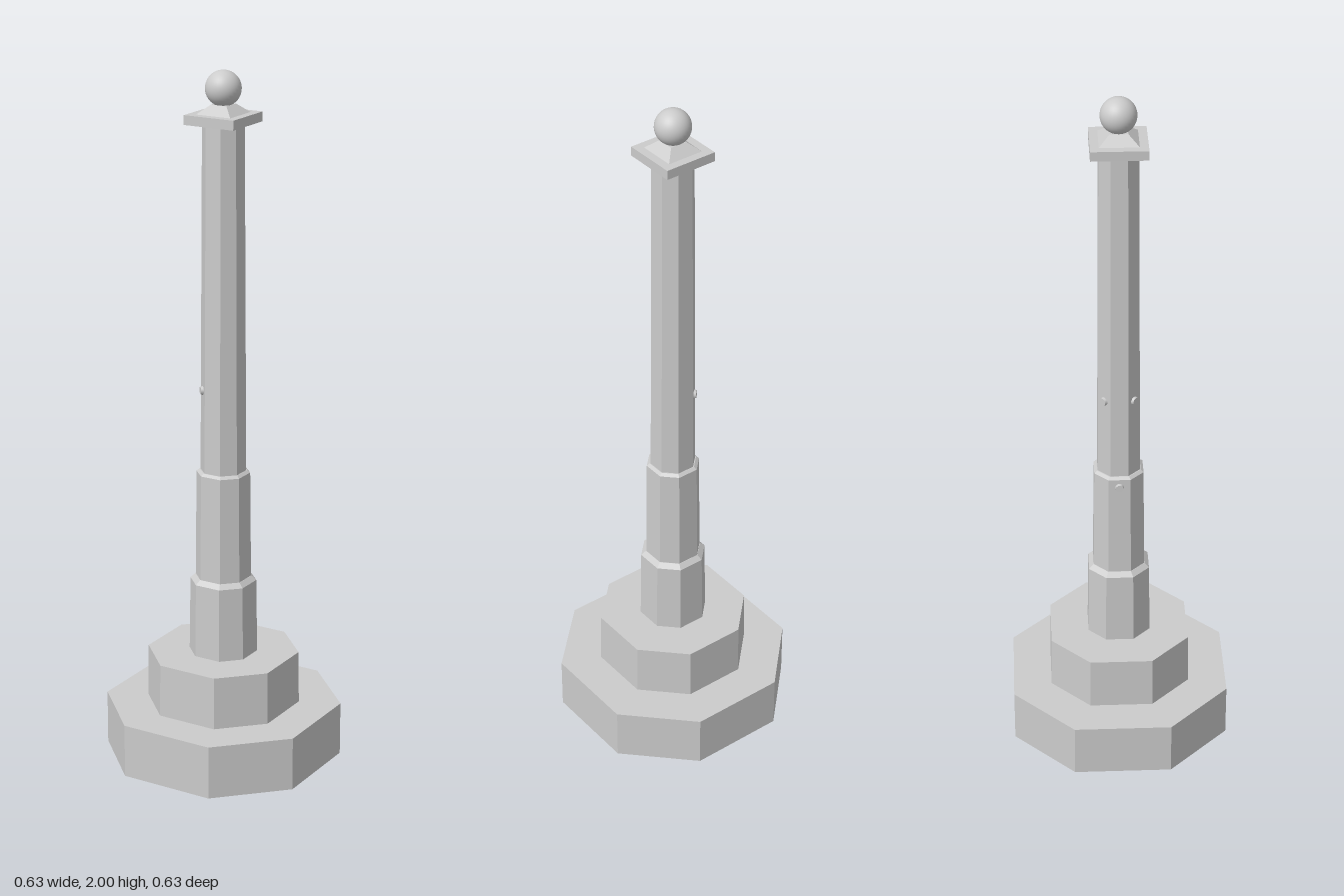
import * as THREE from 'three';

const material = new THREE.MeshStandardMaterial({ color: 0xcccccc });
const flat = new THREE.MeshStandardMaterial({ color: 0xcccccc, flatShading: true });

// Octagonal solid lofted through rings of [height, half width]; closed at both ends.
function octagonLoft(rings, ratio = 0.447) {
  const pos = [];
  const loops = rings.map(([y, h]) => {
    const c = h * ratio;
    return [[h, -c], [h, c], [c, h], [-c, h], [-h, c], [-h, -c], [-c, -h], [c, -h]]
      .map(([x, z]) => [x, y, z]);
  });
  const tri = (...points) => points.forEach((p) => pos.push(...p));
  const first = loops[0], last = loops[loops.length - 1];
  for (let i = 0; i < 8; i++) {
    const j = (i + 1) % 8;
    for (let k = 0; k < loops.length - 1; k++) {
      const a = loops[k], b = loops[k + 1];
      tri(a[i], b[i], b[j]);
      tri(a[i], b[j], a[j]);
    }
    tri([0, first[i][1], 0], first[i], first[j]);
    tri([0, last[i][1], 0], last[j], last[i]);
  }
  const geometry = new THREE.BufferGeometry();
  geometry.setAttribute('position', new THREE.Float32BufferAttribute(pos, 3));
  geometry.computeVertexNormals();
  return geometry;
}

export function createModel() {
  const group = new THREE.Group();
  const add = (name, geometry, y = 0, mat = material) => {
    const mesh = new THREE.Mesh(geometry, mat);
    mesh.name = name;
    mesh.position.y = y;
    group.add(mesh);
    return mesh;
  };

  // Stepped base
  add('lowerStep', octagonLoft([[0, 0.313], [0.157, 0.313]]));
  add('upperStep', octagonLoft([[0.157, 0.202], [0.312, 0.2]]));

  // Column in three narrowing stages
  add('plinth', octagonLoft([[0.312, 0.09], [0.53, 0.087], [0.543, 0.074]]));
  add('lowerShaft', octagonLoft([[0.543, 0.073], [0.855, 0.07], [0.862, 0.062]]));
  add('upperShaft', octagonLoft([[0.86, 0.06], [1.856, 0.054]], 0.43));

  // Square cap with a low pyramid and a ball finial
  add('capSlab', new THREE.BoxGeometry(0.156, 0.027, 0.156), 1.868);
  const pyramid = new THREE.CylinderGeometry(0.025 * Math.SQRT2, 0.054 * Math.SQRT2, 0.025, 4);
  add('capPyramid', pyramid.rotateY(Math.PI / 4), 1.894, flat);
  add('ballFinial', new THREE.SphereGeometry(0.05, 32, 20), 1.95);

  // Small studs: two on the rear and front diagonal faces, one on the lower shaft
  const studs = [
    [-0.042, 1.1, 0.042, 0.014],
    [-0.042, 1.1, -0.042, 0.014],
    [-0.071, 0.83, 0, 0.014],
  ];
  for (const [x, y, z, r] of studs) {
    const stud = add('stud', new THREE.CylinderGeometry(r * 0.8, r, 0.014, 12), y);
    stud.position.set(x, y, z);
    const outward = new THREE.Vector3(x, 0, z).normalize();
    stud.quaternion.setFromUnitVectors(new THREE.Vector3(0, 1, 0), outward);
  }
  return group;
}
